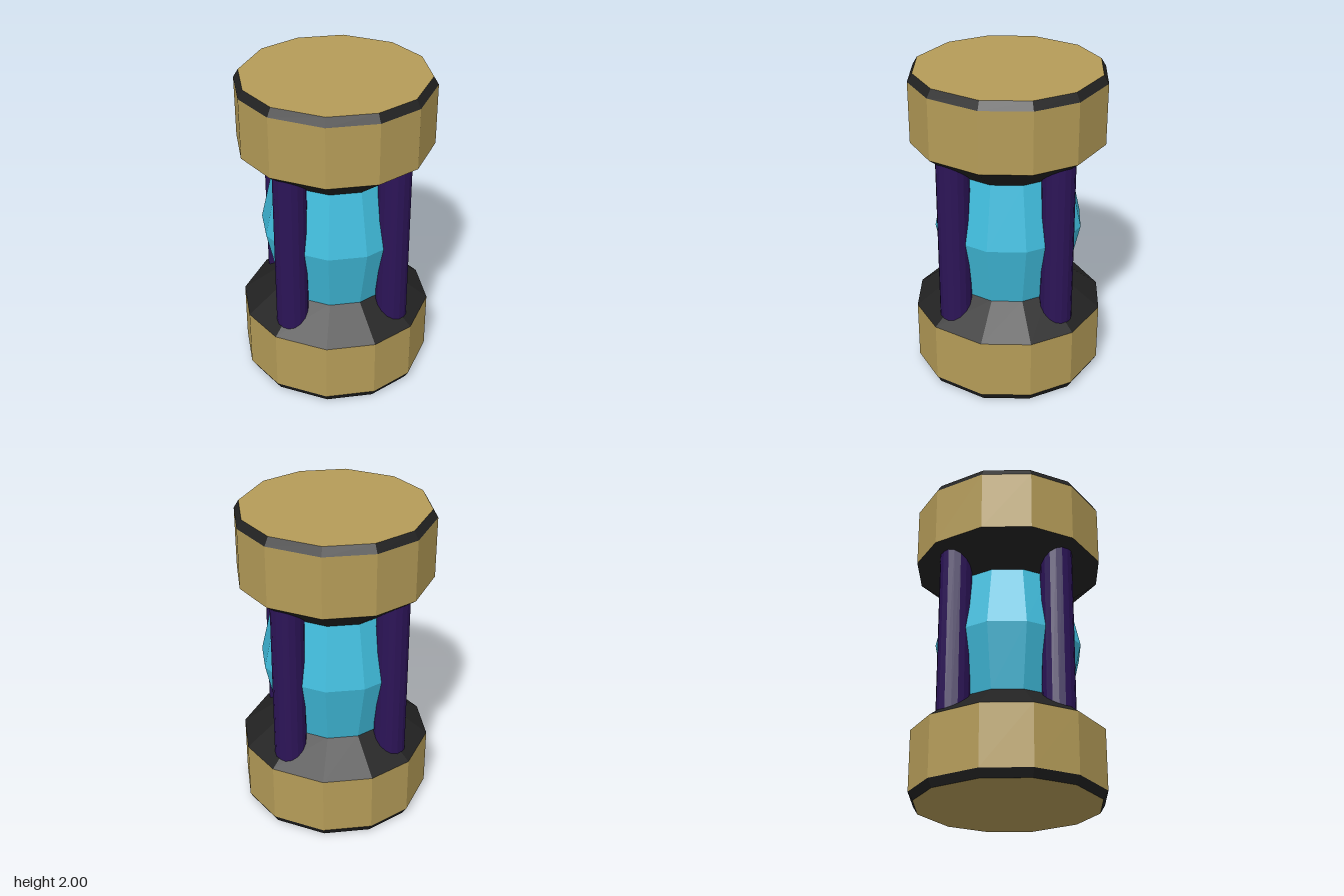
import * as THREE from 'three';

const paint = (color) => new THREE.MeshStandardMaterial({ color, flatShading: true });
const SIDES = 12;

// Turns the corners of a regular 12-sided ring slightly, the same way in each quarter
function skew(geometry) {
  const p = geometry.attributes.position;
  const shift = [0.9, -1.3, -2];
  for (let i = 0; i < p.count; i++) {
    const x = p.getX(i), z = p.getZ(i);
    const r = Math.hypot(x, z);
    if (r < 1e-4) continue;
    const k = Math.round(Math.atan2(z, x) / (Math.PI / 6));
    const a = THREE.MathUtils.degToRad(k * 30 + shift[(k + 12) % 3]);
    p.setXYZ(i, r * Math.cos(a), p.getY(i), r * Math.sin(a));
  }
  geometry.computeVertexNormals();
  return geometry;
}

export function createModel() {
  const model = new THREE.Group();
  const gold = paint(0xb59c58);
  const dark = paint(0x222222);
  const blue = paint(0x40bcdc);
  const purple = paint(0x2c1457);

  const add = (parent, name, geometry, material) => {
    const mesh = new THREE.Mesh(geometry, material);
    mesh.name = name;
    parent.add(mesh);
    return mesh;
  };

  // Open 12-sided band between two heights, with a radius at each
  const band = (parent, name, y0, r0, y1, r1, material) => {
    const g = new THREE.CylinderGeometry(r1, r0, y1 - y0, SIDES, 1, true);
    g.translate(0, (y0 + y1) / 2, 0);
    return add(parent, name, skew(g), material);
  };

  // End caps: gold drum with a dark bevel outside and a dark slope inside
  for (const top of [false, true]) {
    const cap = new THREE.Group();
    cap.name = top ? 'topCap' : 'bottomCap';
    model.add(cap);
    const ring = (name, ya, ra, yb, rb, material) => top
      ? band(cap, name, 2 - yb, rb, 2 - ya, ra, material)
      : band(cap, name, ya, ra, yb, rb, material);
    ring('bevel', 0, 0.57, 0.05, 0.6, dark);
    ring('drum', 0.05, 0.6, 0.43, 0.6, gold);
    ring('slope', 0.43, 0.6, 0.605, 0.37, dark);
    const disc = new THREE.CircleGeometry(0.57, SIDES);
    disc.rotateX(top ? -Math.PI / 2 : Math.PI / 2);
    disc.translate(0, top ? 2 : 0, 0);
    add(cap, 'endFace', skew(disc), gold);
  }

  // Glowing core, widest in the middle
  const core = new THREE.Group();
  core.name = 'core';
  model.add(core);
  band(core, 'lowerCore', 0.6, 0.375, 1, 0.465, blue);
  band(core, 'upperCore', 1, 0.465, 1.4, 0.375, blue);

  // Four posts, sunk into the sloped rings
  for (let i = 0; i < 4; i++) {
    const a = i * Math.PI / 2;
    const post = add(model, 'post', new THREE.CylinderGeometry(0.1, 0.1, 1.2, 16), purple);
    post.position.set(0.44 * Math.sin(a), 1, 0.44 * Math.cos(a));
  }

  return model;
}
